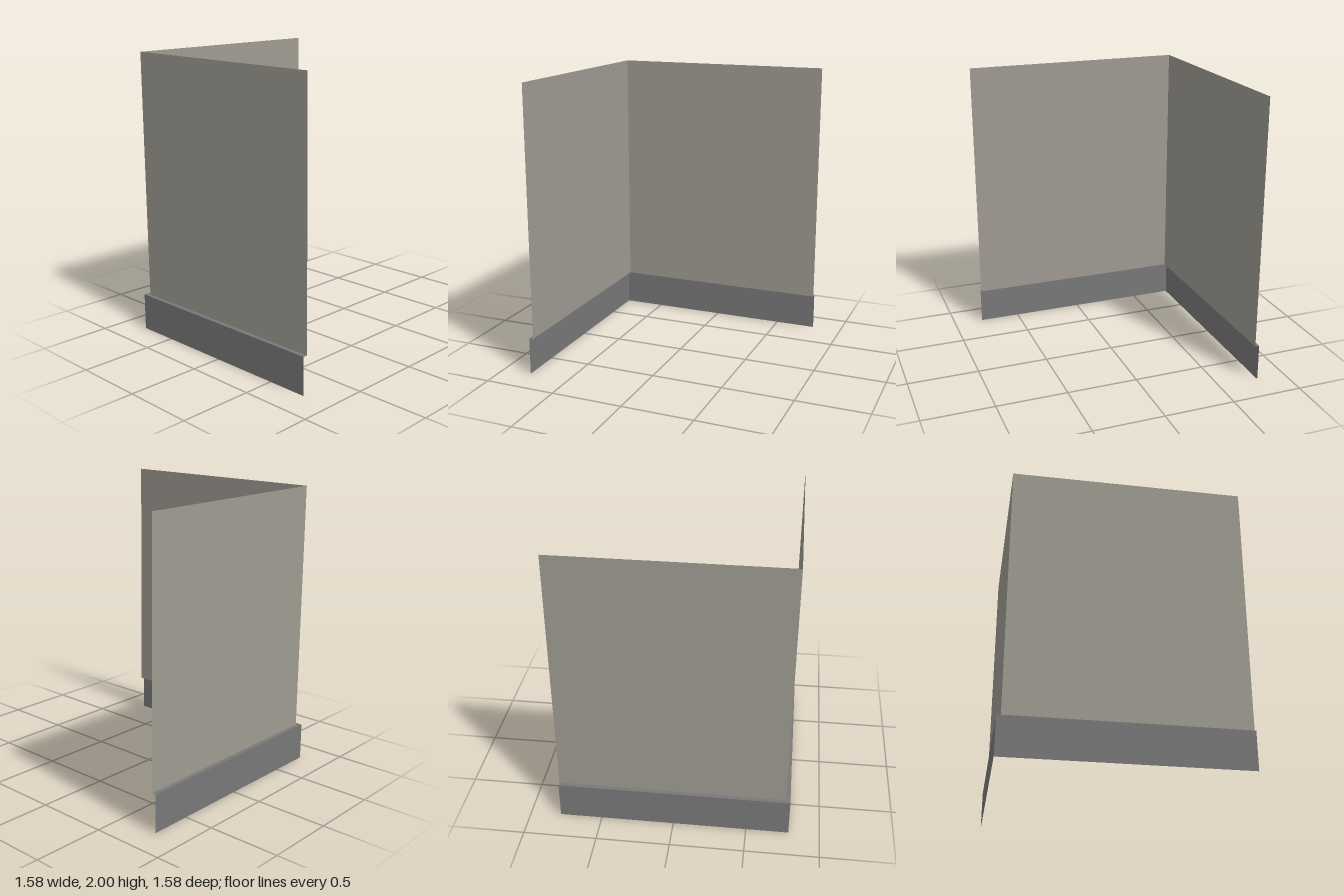
import * as THREE from 'three';

const END = 0.79;    // free ends, and outer face of the skirting
const INNER = 0.76;  // plane of the wall panels
const SKIRT = 0.26;  // skirting height
const TOP = 2;       // wall height

const mat = (name, color) => {
  const m = new THREE.MeshStandardMaterial({ color, side: THREE.DoubleSide });
  m.name = name;
  return m;
};

export function createModel() {
  const model = new THREE.Group();
  model.name = 'cornerWall';
  const wallPaint = mat('warm grey wall', 0x9f9b92);
  const skirtPaint = mat('dark grey skirting', 0x787878);

  const add = (name, geometry, material) => {
    const mesh = new THREE.Mesh(geometry, material);
    mesh.name = name;
    model.add(mesh);
    return mesh;
  };

  // Two upright sheets meeting at the front right corner, at a given offset
  const addCorner = (name, offset, y0, y1, material) => {
    const length = END + offset;
    const middle = (END - offset) / 2;
    const y = (y0 + y1) / 2;
    const sheet = new THREE.PlaneGeometry(length, y1 - y0);
    add('front' + name, sheet, material).position.set(middle, y, offset);
    const side = add('right' + name, sheet, material);
    side.rotation.y = -Math.PI / 2;
    side.position.set(-offset, y, -middle);
  };

  addCorner('Wall', INNER, SKIRT, TOP, wallPaint);
  addCorner('Skirting', END, 0, SKIRT, skirtPaint);

  // Narrow L-shaped ledge joining skirting to wall (shape y becomes -z)
  const outline = [
    [-END, -END], [END, -END], [END, -INNER],
    [-INNER, -INNER], [-INNER, END], [-END, END],
  ].map(([x, y]) => new THREE.Vector2(x, y));
  const ledge = new THREE.ShapeGeometry(new THREE.Shape(outline));
  ledge.rotateX(-Math.PI / 2);
  add('skirtingLedge', ledge, skirtPaint).position.y = SKIRT;

  return model;
}
